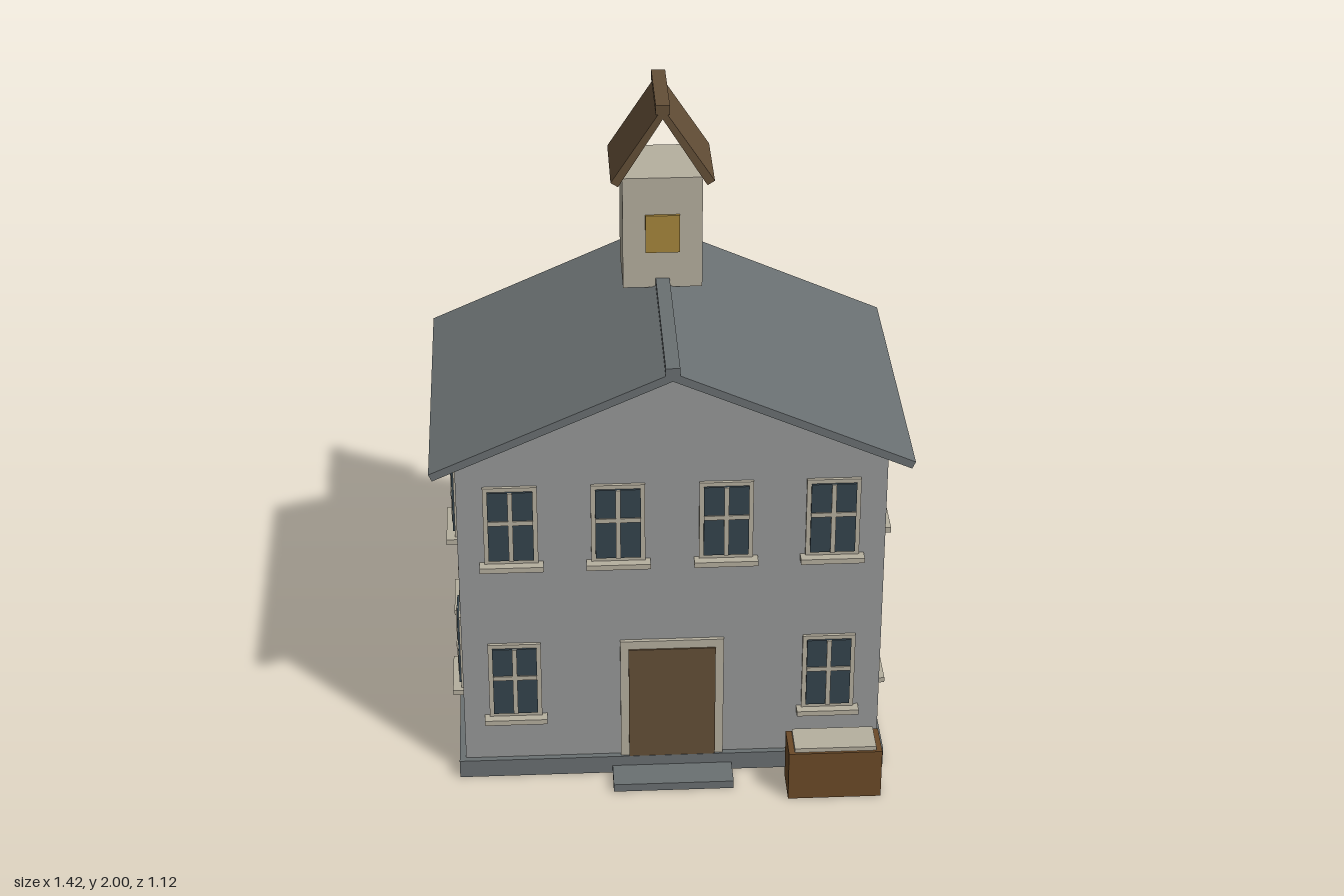
import * as THREE from 'three';

const mat = (name, color, side = THREE.FrontSide) => {
  const m = new THREE.MeshStandardMaterial({ color, side });
  m.name = name;
  return m;
};

export function createModel() {
  const wall = mat('wall grey', 0x979998);
  const slate = mat('slate grey', 0x6a7072);
  const trim = mat('cream trim', 0xb6b09f);
  const glass = mat('dark glass', 0x35444d);
  const wood = mat('dark wood', 0x644f37);
  const planterWood = mat('planter wood', 0x6b4a28);
  const gold = mat('gold', 0xa6863c);

  const model = new THREE.Group();
  model.name = 'house';

  // Box given by its min and max corners
  function box(name, material, [x0, y0, z0], [x1, y1, z1], parent = model) {
    const mesh = new THREE.Mesh(new THREE.BoxGeometry(x1 - x0, y1 - y0, z1 - z0), material);
    mesh.position.set((x0 + x1) / 2, (y0 + y1) / 2, (z0 + z1) / 2);
    mesh.name = name;
    parent.add(mesh);
    return mesh;
  }

  // Mirror-symmetric outline, given by its right half, extruded along z
  function prism(name, material, outer, inner, z0, z1) {
    const flip = (pts) => pts.slice().reverse().map(([x, y]) => [-x, y]);
    // outer runs from the ridge down, inner from the low end back to the centre
    const pts = [...outer, ...inner, ...flip(inner), ...flip(outer)]
      .map(([x, y]) => new THREE.Vector2(x, y))
      .filter((p, i, a) => !p.equals(a[(i + 1) % a.length]));
    const geo = new THREE.ExtrudeGeometry(new THREE.Shape(pts), { depth: z1 - z0, bevelEnabled: false });
    geo.translate(0, 0, z0);
    const mesh = new THREE.Mesh(geo, material);
    mesh.name = name;
    model.add(mesh);
  }

  const W = 0.635, ZF = 0.38, ZB = -0.525, ZC = (ZF + ZB) / 2;

  // Base, walls and main roof
  box('plinth', slate, [-0.655, 0, -0.54], [0.655, 0.06, 0.398]);
  prism('walls', wall, [[0, 1.39], [W, 1.108]], [[W, 0.03]], ZB, ZF);
  prism('mainRoof', slate, [[0, 1.415], [0.71, 1.1]], [[0.7, 1.078], [0, 1.388]], -0.56, 0.42);
  box('ridgeCap', slate, [-0.021, 1.398, -0.56], [0.021, 1.43, 0.42]);

  // Bell tower with its small open gabled roof
  box('tower', trim, [-0.12, 1.4, -0.393], [0.12, 1.762, -0.153]);
  box('towerPanel', gold, [-0.052, 1.52, -0.153], [0.052, 1.642, -0.144]);
  prism('towerRoof', wood, [[0, 1.992], [0.155, 1.755]], [[0.133, 1.741], [0, 1.956]], -0.41, -0.14);
  box('towerRidge', wood, [-0.021, 1.97, -0.41], [0.021, 2, -0.14]);

  // Window facing +z with its back on z = 0, centred on the origin
  function windowUnit() {
    const g = new THREE.Group();
    g.name = 'window';
    box('frame', trim, [-0.08, -0.13, -0.01], [0.08, 0.13, 0.01], g);
    box('pane', glass, [-0.067, -0.117, 0.008], [0.067, 0.117, 0.016], g);
    box('verticalBar', trim, [-0.007, -0.117, 0.014], [0.007, 0.117, 0.02], g);
    box('crossBar', trim, [-0.067, 0.007, 0.014], [0.067, 0.021, 0.02], g);
    box('sill', trim, [-0.095, -0.147, -0.01], [0.095, -0.13, 0.036], g);
    return g;
  }
  function addWindow(x, y, z, turn) {
    const w = windowUnit();
    w.position.set(x, y, z);
    w.rotation.y = turn;
    model.add(w);
  }

  // Two storeys of windows on all four walls; the door replaces two at the front
  for (const y of [0.35, 0.9]) {
    for (const x of [-0.477, -0.16, 0.16, 0.477]) {
      if (y > 0.5 || Math.abs(x) > 0.3) addWindow(x, y, ZF, 0);
      addWindow(x, y, ZB, Math.PI);
    }
    for (const dz of [-0.225, 0.225]) {
      addWindow(W, y, ZC + dz, Math.PI / 2);
      addWindow(-W, y, ZC + dz, -Math.PI / 2);
    }
  }

  // Front door and step
  box('doorFrame', trim, [-0.157, 0.05, ZF - 0.01], [0.157, 0.48, ZF + 0.012]);
  box('door', wood, [-0.132, 0.05, ZF], [0.132, 0.452, ZF + 0.017]);
  box('step', slate, [-0.184, 0, 0.39], [0.184, 0.026, 0.497]);

  // Planter box beside the door
  box('planter', planterWood, [0.346, 0, 0.44], [0.63, 0.166, 0.56]);
  box('planterTop', trim, [0.364, 0.15, 0.448], [0.612, 0.18, 0.552]);

  return model;
}
